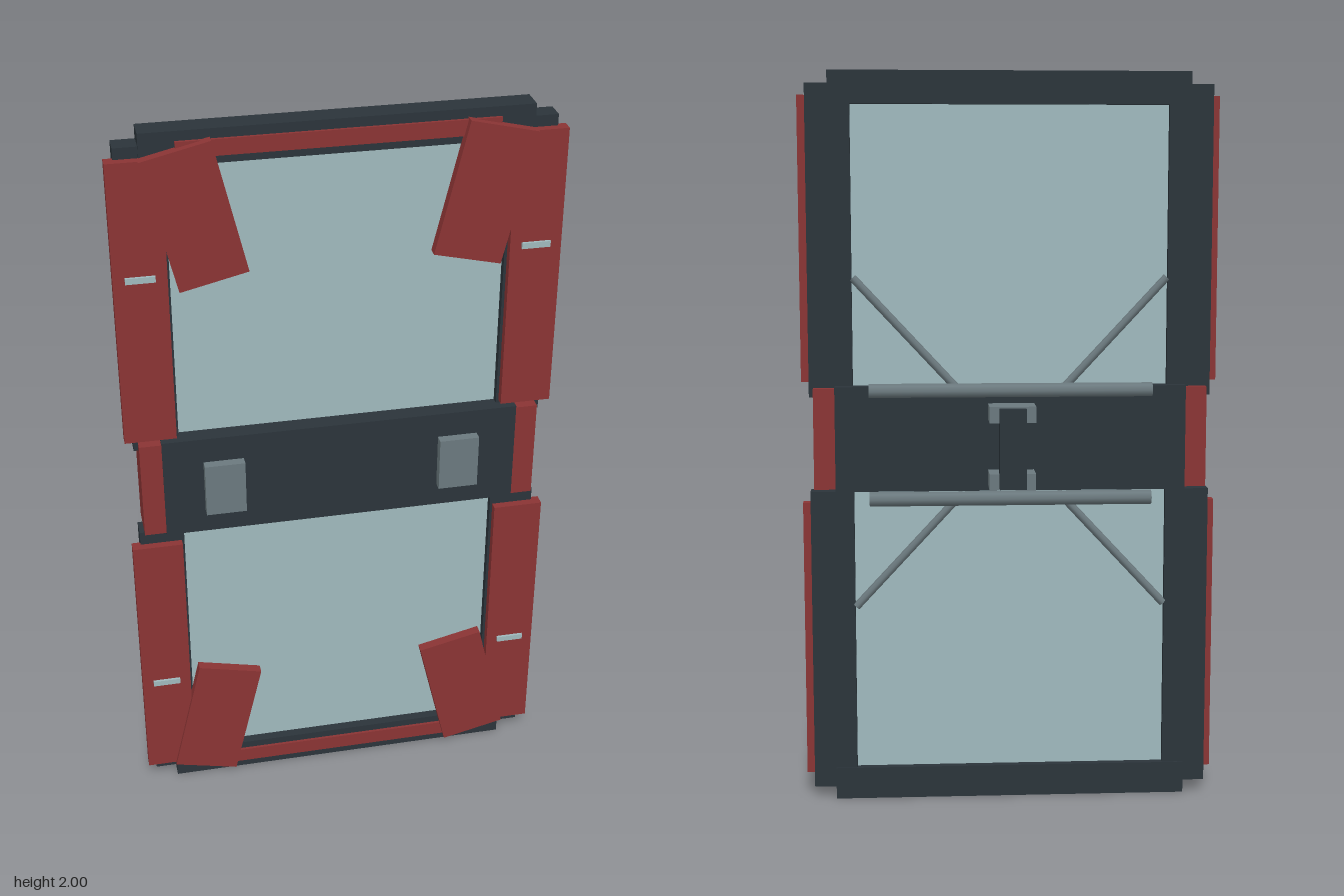
import * as THREE from 'three';

const mat = (name, color) => {
  const m = new THREE.MeshStandardMaterial({ color });
  m.name = name;
  return m;
};

export function createModel() {
  const red = mat('red paint', 0x8a3434);
  const dark = mat('dark frame', 0x2b343a);
  const grey = mat('grey metal', 0x6b797e);
  const glass = mat('pale glass', 0x9fb9bd);
  const model = new THREE.Group();
  model.name = 'rectangularShield';

  const add = (parent, name, geometry, material) => {
    const mesh = new THREE.Mesh(geometry, material);
    mesh.name = name;
    parent.add(mesh);
    return mesh;
  };

  // Box given by its limits on each axis
  const box = (parent, name, material, [x0, x1], [y0, y1], [z0, z1]) => {
    const mesh = add(parent, name, new THREE.BoxGeometry(x1 - x0, y1 - y0, z1 - z0), material);
    mesh.position.set((x0 + x1) / 2, (y0 + y1) / 2, (z0 + z1) / 2);
    return mesh;
  };
  const span = (a, b, s) => (s > 0 ? [a, b] : [-b, -a]);

  // Upper and lower halves, measured from the middle height y = 1
  for (const v of [1, -1]) {
    const half = new THREE.Group();
    half.name = v > 0 ? 'upperHalf' : 'lowerHalf';
    half.position.y = 1;
    model.add(half);

    box(half, 'window', glass, [-0.45, 0.45], span(0.1, 0.94, v), [0.034, 0.05]);
    box(half, 'endRail', dark, [-0.487, 0.487], span(0.912, 1, v), [0.012, 0.076]);
    box(half, 'endTrim', red, [-0.4, 0.4], span(0.933, 0.975, v), [0.066, 0.084]);

    // Reinforcing tube behind the middle band
    const tube = add(half, 'crossTube', new THREE.CylinderGeometry(0.02, 0.02, 0.77, 8), grey);
    tube.rotation.set(Math.PI / 8, 0, Math.PI / 2, 'ZYX');
    tube.rotation.set(0, 0, Math.PI / 2);
    tube.position.set(0, v * 0.148, -0.007);

    for (const s of [1, -1]) {
      box(half, 'sideRail', dark, span(0.428, 0.547, s), span(0.13, 0.966, v), [0.017, 0.07]);
      box(half, 'sidePlate', red, span(0.435, 0.57, s), span(0.168, 0.937, v), [0.059, 0.092]);
      box(half, 'plateSlot', glass, span(0.465, 0.54, s), span(0.623, 0.639, v), [0.09, 0.099]);

      // Slanted corner guard
      const guard = add(half, 'cornerGuard', new THREE.BoxGeometry(0.18, 0.357, 0.028), red);
      guard.position.set(s * 0.3625, v * 0.785, 0.089);
      guard.rotation.z = -s * v * 0.232;

      // Diagonal brace across the back of the window
      const a = new THREE.Vector3(s * 0.13, v * 0.135, 0.02);
      const b = new THREE.Vector3(s * 0.425, v * 0.452, 0.02);
      const dir = b.clone().sub(a);
      const brace = add(half, 'brace', new THREE.CylinderGeometry(0.011, 0.011, dir.length(), 8), grey);
      brace.position.copy(a).add(b).multiplyScalar(0.5);
      brace.quaternion.setFromUnitVectors(new THREE.Vector3(0, 1, 0), dir.normalize());
    }
  }

  // Middle band with end caps and front lamps
  box(model, 'middleBand', dark, [-0.477, 0.477], [0.874, 1.16], [-0.013, 0.099]);
  for (const s of [1, -1]) {
    box(model, 'bandCap', red, span(0.472, 0.535, s), [0.88, 1.155], [-0.008, 0.098]);
    box(model, 'lamp', grey, span(0.263, 0.37, s), [0.94, 1.09], [0.09, 0.125]);
  }

  // Rear handle
  const handle = new THREE.Group();
  handle.name = 'handle';
  model.add(handle);
  for (const y of [0.91, 1.092]) {
    box(handle, 'handleMount', grey, [-0.0625, 0.0625], [y - 0.022, y + 0.022], [-0.098, -0.005]);
  }
  box(handle, 'grip', dark, [-0.036, 0.036], [0.894, 1.11], [-0.126, -0.062]);

  return model;
}
